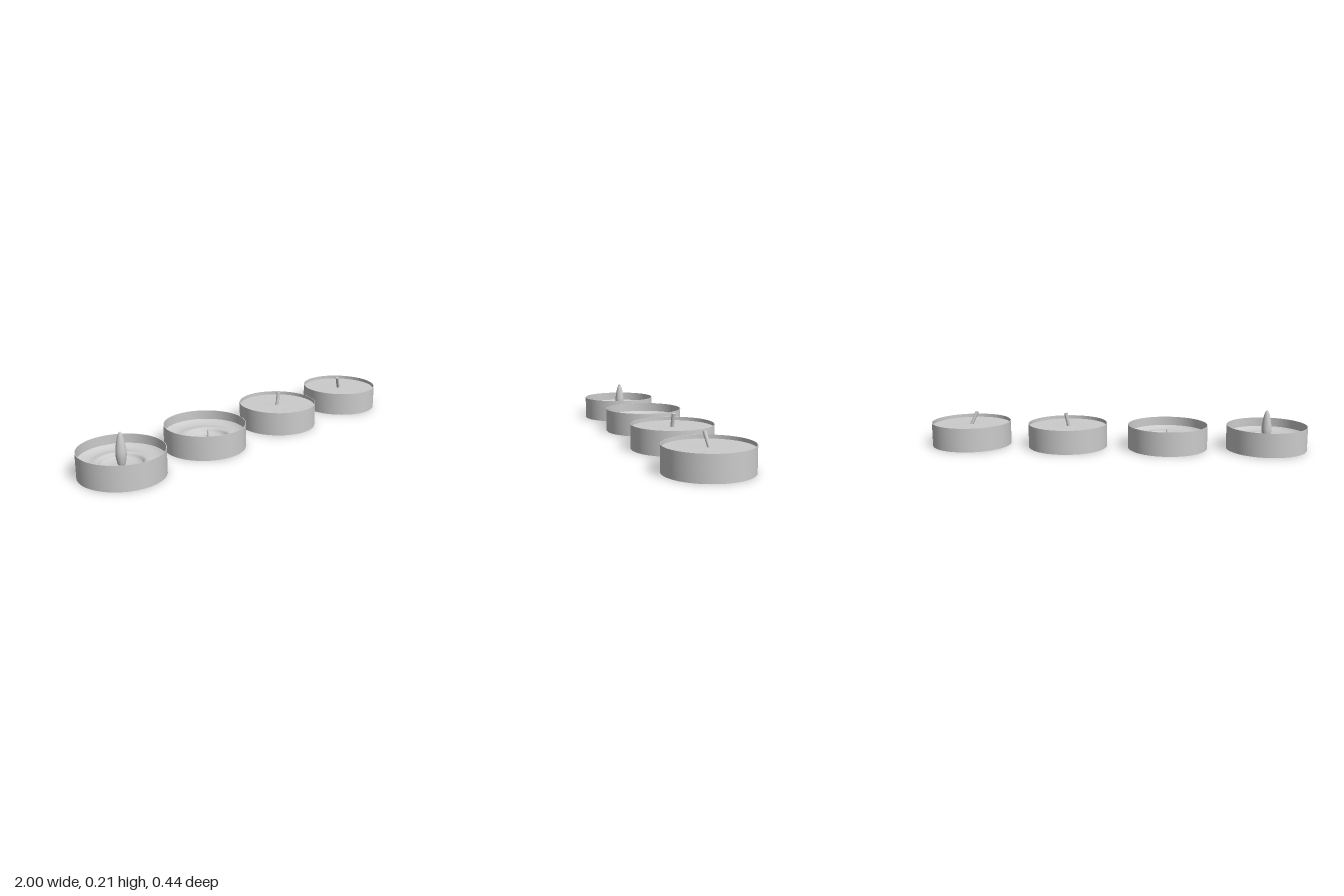
import * as THREE from 'three';
import { toCreasedNormals } from 'three/addons/utils/BufferGeometryUtils.js';

const R = 0.21, H = 0.125, SEGMENTS = 64;
const material = new THREE.MeshStandardMaterial({ color: 0xcccccc, side: THREE.DoubleSide });

function add(parent, name, geometry) {
  const mesh = new THREE.Mesh(geometry, material);
  mesh.name = name;
  parent.add(mesh);
  return mesh;
}

const points = (list) => list.map(([r, y]) => new THREE.Vector2(r, y));

function smoothProfile(list, count) {
  return new THREE.SplineCurve(points(list)).getPoints(count)
    .map((p) => new THREE.Vector2(Math.max(p.x, 0), p.y));
}

// Thin metal cup with a flat base and open top
function cupGeometry() {
  const profile = points([[0, 0], [R, 0], [R, H], [R - 0.003, H], [R - 0.003, 0.004], [0, 0.004]]);
  return toCreasedNormals(new THREE.LatheGeometry(profile, SEGMENTS), 0.6);
}

// Fresh wax: almost flat, rising a little to the wick
function freshWaxGeometry() {
  return new THREE.LatheGeometry(points([[R - 0.003, 0.107], [0.1, 0.106], [0.03, 0.107], [0, 0.109]]), SEGMENTS);
}

// Melted wax: soft ridge around a sunken pool, the pool shifted off centre
function meltedWaxGeometry(dx, dz) {
  const profile = smoothProfile([
    [R - 0.003, 0.078], [0.185, 0.066], [0.155, 0.061], [0.125, 0.064],
    [0.108, 0.06], [0.095, 0.045], [0.07, 0.037], [0.035, 0.035], [0, 0.036],
  ], 40);
  const geometry = new THREE.LatheGeometry(profile, SEGMENTS);
  const p = geometry.attributes.position;
  for (let i = 0; i < p.count; i++) {
    const x = p.getX(i), z = p.getZ(i);
    const shift = Math.min(1, (1 - Math.hypot(x, z) / (R - 0.003)) * 2);
    p.setXYZ(i, x + dx * shift, p.getY(i), z + dz * shift);
  }
  geometry.computeVertexNormals();
  return geometry;
}

// Straight wick between two points
function addWick(parent, from, to, bottomRadius, topRadius) {
  const a = new THREE.Vector3(...from), b = new THREE.Vector3(...to);
  const dir = b.clone().sub(a);
  const wick = add(parent, 'wick', new THREE.CylinderGeometry(topRadius, bottomRadius, dir.length(), 12));
  wick.position.copy(a).add(b).multiplyScalar(0.5);
  wick.quaternion.setFromUnitVectors(new THREE.Vector3(0, 1, 0), dir.normalize());
}

function flameGeometry() {
  const profile = smoothProfile([
    [0, 0.033], [0.013, 0.038], [0.021, 0.06], [0.026, 0.095],
    [0.024, 0.13], [0.017, 0.17], [0.008, 0.198], [0, 0.208],
  ], 32);
  return new THREE.LatheGeometry(profile, 24);
}

function addCandle(parent, name, x, z, wax) {
  const candle = new THREE.Group();
  candle.name = name;
  candle.position.set(x, 0, z);
  add(candle, 'cup', cupGeometry());
  add(candle, 'wax', wax);
  parent.add(candle);
  return candle;
}

export function createModel() {
  const model = new THREE.Group();
  model.name = 'tealightCandles';

  const lit = addCandle(model, 'litCandle', -0.79, 0.012, meltedWaxGeometry(0.003, -0.006));
  add(lit, 'flame', flameGeometry()).position.set(0.002, 0, -0.005);

  const burnt = addCandle(model, 'burntCandle', -0.27, -0.008, meltedWaxGeometry(0.003, 0.018));
  addWick(burnt, [0.005, 0.033, 0.018], [0.005, 0.095, 0.018], 0.01, 0.002);

  const fresh = addCandle(model, 'freshCandle', 0.263, -0.012, freshWaxGeometry());
  addWick(fresh, [-0.005, 0.1, 0.002], [0.01, 0.177, -0.002], 0.009, 0.01);

  const bent = addCandle(model, 'leaningWickCandle', 0.79, -0.007, freshWaxGeometry());
  addWick(bent, [0.003, 0.1, -0.004], [-0.03, 0.175, 0.01], 0.009, 0.009);

  return model;
}
